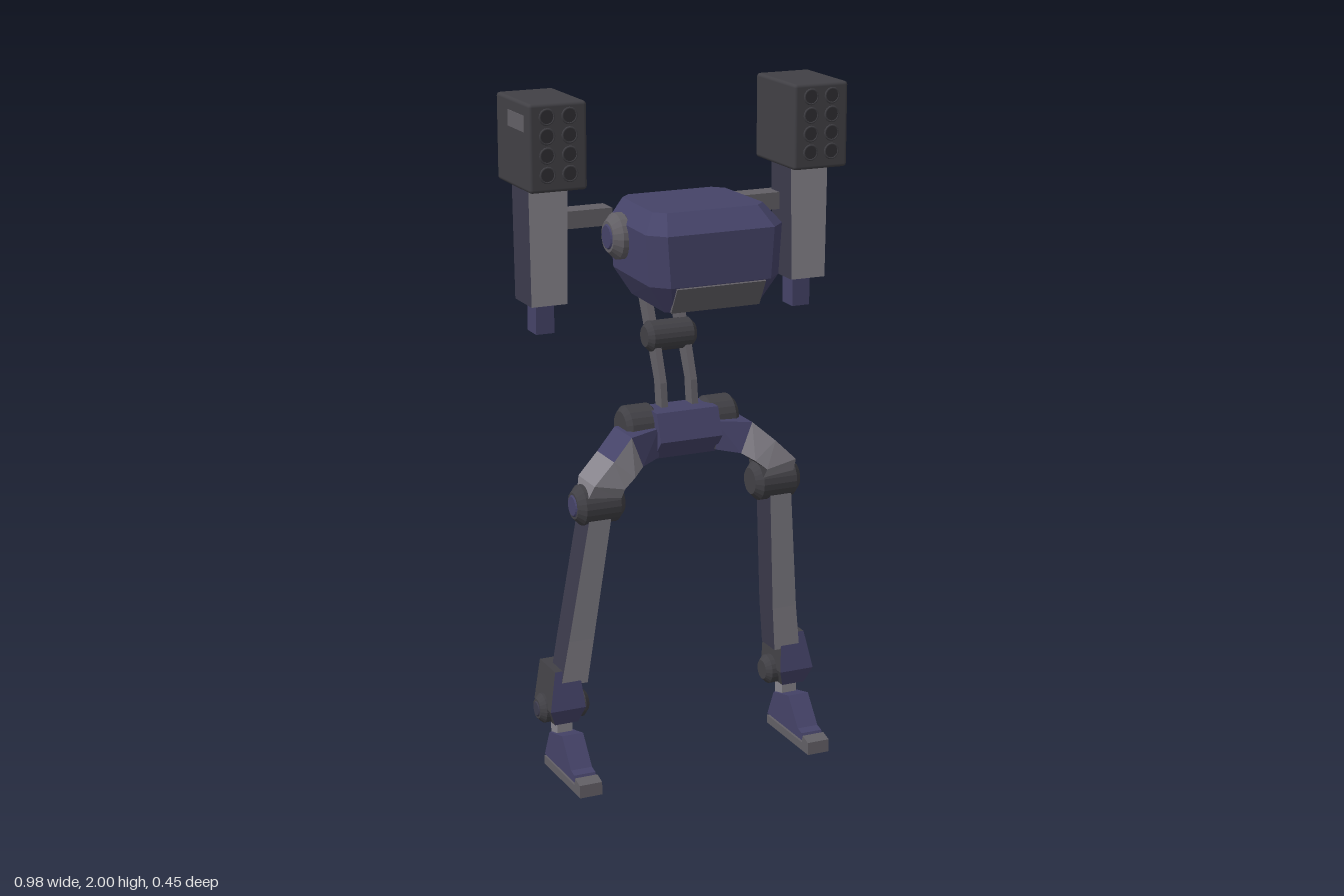
import * as THREE from 'three';
import { RoundedBoxGeometry } from 'three/addons/geometries/RoundedBoxGeometry.js';
import { ConvexGeometry } from 'three/addons/geometries/ConvexGeometry.js';

const paint = (name, color) => Object.assign(new THREE.MeshStandardMaterial({ color }), { name });

export function createModel() {
  const blue = paint('navy armour', 0x454368);
  const dark = paint('dark metal', 0x414045);
  const grey = paint('light grey plate', 0x87848c);
  const steel = paint('steel', 0x625f65);
  const slate = paint('slate', 0x3c3b4c);
  const bore = paint('tube black', 0x2f2e32);

  const model = new THREE.Group();
  model.name = 'walker';

  const add = (parent, name, geo, mat, x = 0, y = 0, z = 0) => {
    const mesh = new THREE.Mesh(geo, mat);
    mesh.name = name;
    mesh.position.set(x, y, z);
    parent.add(mesh);
    return mesh;
  };

  // box given by its limits
  const box = (parent, name, mat, x0, x1, y0, y1, z0, z1, r = 0) => {
    const s = [x1 - x0, y1 - y0, z1 - z0];
    const geo = r ? new RoundedBoxGeometry(...s, 2, r) : new THREE.BoxGeometry(...s);
    return add(parent, name, geo, mat, (x0 + x1) / 2, (y0 + y1) / 2, (z0 + z1) / 2);
  };

  // bevelled drum lying along x
  const drum = (parent, name, mat, x0, x1, y, z, r, bevel = 0.015) => {
    const h = (x1 - x0) / 2;
    const pts = [[0, -h], [r - bevel, -h], [r, bevel - h], [r, h - bevel], [r - bevel, h], [0, h]]
      .map(p => new THREE.Vector2(...p));
    const geo = new THREE.LatheGeometry(pts, 20).rotateZ(-Math.PI / 2).toNonIndexed();
    geo.computeVertexNormals();
    return add(parent, name, geo, mat, (x0 + x1) / 2, y, z);
  };

  // side outline of [z, y] points, extruded along x
  const slab = (parent, name, mat, outline, x0, x1) => {
    const shape = new THREE.Shape(outline.map(([z, y]) => new THREE.Vector2(-z, y)));
    const geo = new THREE.ExtrudeGeometry(shape, { depth: x1 - x0, bevelEnabled: false }).rotateY(Math.PI / 2);
    return add(parent, name, geo, mat, x0);
  };

  // four-sided loft, lower ring first; ring = [inner xy, outer xy, front z, back z];
  // pick(segment, side) gives the material, sides: 0 front, 1 outer, 2 back, 3 inner
  const loft = (parent, name, rings, mats, pick) => {
    const c = rings.map(([a, b, f, k]) => [[...a, f], [...b, f], [...b, k], [...a, k]]);
    const pos = [], geo = new THREE.BufferGeometry();
    const quad = (a, b, d, e, m) => {
      geo.addGroup(pos.length / 3, 6, m);
      pos.push(...a, ...b, ...d, ...a, ...d, ...e);
    };
    for (let i = 0; i < c.length - 1; i++) {
      for (let s = 0; s < 4; s++) {
        const t = (s + 1) % 4;
        quad(c[i][s], c[i][t], c[i + 1][t], c[i + 1][s], pick(i, s));
      }
    }
    const top = c[c.length - 1];
    quad(c[0][3], c[0][2], c[0][1], c[0][0], 0);
    quad(...top, 0);
    geo.setAttribute('position', new THREE.Float32BufferAttribute(pos, 3));
    geo.computeVertexNormals();
    return add(parent, name, geo, mats);
  };

  // bar between two points
  const rod = (parent, name, mat, a, b, r) => {
    const from = new THREE.Vector3(...a), d = new THREE.Vector3(...b).sub(from);
    const mesh = add(parent, name, new THREE.CylinderGeometry(r, r, d.length(), 8), mat);
    mesh.position.copy(from).addScaledVector(d, 0.5);
    mesh.quaternion.setFromUnitVectors(new THREE.Vector3(0, 1, 0), d.normalize());
    return mesh;
  };

  // mirrored copy across x = 0 with the winding turned back
  const mirror = (source, name) => {
    const out = new THREE.Group();
    out.name = name;
    for (const m of source.children) {
      m.updateMatrix();
      let geo = m.geometry.clone();
      if (geo.index) geo = geo.toNonIndexed();
      geo.applyMatrix4(new THREE.Matrix4().makeScale(-1, 1, 1).multiply(m.matrix));
      for (const { array, itemSize: n } of Object.values(geo.attributes)) {
        for (let i = 0; i < array.length; i += 3 * n) {
          for (let k = 0; k < n; k++) {
            [array[i + n + k], array[i + 2 * n + k]] = [array[i + 2 * n + k], array[i + n + k]];
          }
        }
      }
      add(out, m.name, geo, m.material);
    }
    return out;
  };

  // cabin: chamfered hull from eight-cornered levels
  const hull = [];
  for (const [y, hx, zf, zb, c] of [
    [1.42, 0.145, 0.18, -0.10, 0.02], [1.5, 0.197, 0.223, -0.14, 0.045],
    [1.645, 0.207, 0.223, -0.14, 0.045], [1.698, 0.168, 0.165, -0.12, 0.03]]) {
    for (const s of [-1, 1]) {
      for (const [x, z] of [[hx - c, zf], [hx, zf - c], [hx * 0.95, zb + c], [hx * 0.95 - c, zb]]) {
        hull.push(new THREE.Vector3(s * x, y, z));
      }
    }
  }
  add(model, 'cabin', new ConvexGeometry(hull), blue);
  add(model, 'chinPlate', new THREE.BoxGeometry(0.27, 0.086, 0.008), steel, 0, 1.46, 0.2025).rotation.x = 0.5;

  // spine
  box(model, 'backBox', dark, -0.12, 0.12, 1.51, 1.66, -0.215, -0.13, 0.015);
  for (const s of [-1, 1]) {
    const x = s * 0.048;
    slab(model, 'upperStrut', steel, [[-0.17, 1.62], [-0.225, 1.62], [-0.215, 1.38], [-0.155, 1.25],
      [-0.11, 1.26], [-0.165, 1.39]], x - 0.011, x + 0.011);
    slab(model, 'lowerStrut', steel, [[-0.105, 1.27], [-0.155, 1.26], [-0.105, 1.15], [-0.09, 1.03],
      [-0.045, 1.03], [-0.06, 1.15]], x - 0.01, x + 0.01);
  }
  drum(model, 'spineJoint', dark, -0.077, 0.077, 1.275, -0.13, 0.045);

  // pelvis
  slab(model, 'pelvis', blue, [[0, 1.08], [-0.1, 1.08], [-0.145, 1.02], [-0.135, 0.945],
    [-0.02, 0.94], [0.03, 1.0]], -0.097, 0.097);

  // left arm with launcher
  const arm = new THREE.Group();
  arm.name = 'leftArm';
  drum(arm, 'shoulderDisc', steel, 0.17, 0.236, 1.605, -0.02, 0.066, 0.022);
  drum(arm, 'shoulderHub', blue, 0.228, 0.24, 1.605, -0.02, 0.036, 0.004);
  box(arm, 'crossArm', steel, 0.18, 0.36, 1.615, 1.665, -0.183, -0.115);
  loft(arm, 'forearm', [
    [[0.35, 1.42], [0.458, 1.42], -0.04, -0.165],
    [[0.345, 1.76], [0.462, 1.76], -0.04, -0.165]], [slate, grey], (i, s) => (s === 0 ? 1 : 0));
  box(arm, 'barrel', blue, 0.375, 0.43, 1.33, 1.43, -0.145, -0.08);
  box(arm, 'launcher', dark, 0.316, 0.486, 1.755, 2.0, -0.213, 0.035, 0.01);
  for (let i = 0; i < 8; i++) {
    const x = 0.401 + (i % 2 ? 0.033 : -0.033), y = 1.804 + 0.053 * Math.floor(i / 2);
    add(arm, 'launchTube', new THREE.CircleGeometry(0.021, 16), bore, x, y, 0.0365);
    add(arm, 'tubeRim', new THREE.TorusGeometry(0.021, 0.003, 5, 16), dark, x, y, 0.0355);
  }
  box(arm, 'sideWear', steel, 0.485, 0.488, 1.92, 1.965, -0.12, 0.0);
  box(arm, 'backWear', steel, 0.35, 0.44, 1.86, 1.89, -0.215, -0.212);
  model.add(arm, mirror(arm, 'rightArm'));

  // left leg
  const leg = new THREE.Group();
  leg.name = 'leftLeg';
  drum(leg, 'hipJoint', dark, 0.075, 0.178, 1.03, -0.075, 0.062);
  loft(leg, 'thigh', [
    [[0.225, 0.85], [0.325, 0.865], 0.035, -0.05],
    [[0.225, 0.89], [0.318, 0.91], 0.065, -0.055],
    [[0.19, 0.918], [0.255, 0.972], 0.058, -0.065],
    [[0.155, 0.94], [0.19, 1.03], 0.035, -0.09],
    [[0.09, 0.95], [0.09, 1.035], 0.0, -0.1]], [dark, blue, grey],
  (i, s) => (s > 1 ? 0 : i < 2 || (s === 0 && i < 3) ? 2 : 1));
  drum(leg, 'knee', dark, 0.207, 0.353, 0.835, -0.013, 0.059, 0.02);
  drum(leg, 'kneeCap', blue, 0.345, 0.357, 0.835, -0.013, 0.032, 0.004);
  loft(leg, 'shin', [
    [[0.305, 0.28], [0.388, 0.28], -0.035, -0.12],
    [[0.29, 0.42], [0.368, 0.42], -0.02, -0.11],
    [[0.252, 0.81], [0.32, 0.81], 0.032, -0.06]], [slate, grey, dark],
  (i, s) => (s === 0 ? 1 : s === 2 ? 2 : 0));
  rod(leg, 'piston', grey, [0.287, 0.80, -0.083], [0.355, 0.28, -0.15], 0.012);
  loft(leg, 'ankleGuard', [
    [[0.335, 0.16], [0.408, 0.16], -0.04, -0.14],
    [[0.318, 0.21], [0.428, 0.21], -0.02, -0.15],
    [[0.33, 0.325], [0.405, 0.325], -0.04, -0.16]], [dark, blue], (i, s) => (s === 0 ? 1 : 0));
  drum(leg, 'ankle', dark, 0.29, 0.444, 0.2, -0.09, 0.044);
  drum(leg, 'ankleCap', slate, 0.437, 0.447, 0.2, -0.09, 0.024, 0.004);
  box(leg, 'anklePost', grey, 0.345, 0.393, 0.1, 0.18, -0.108, -0.06);
  slab(leg, 'foot', blue, [[0.1, 0.03], [0.09, 0.052], [0.065, 0.058], [0, 0.14],
    [-0.1, 0.115], [-0.14, 0.03]], 0.336, 0.402);
  slab(leg, 'sole', steel, [[0.137, 0], [0.135, 0.038], [0.1, 0.048], [0.095, 0.025],
    [-0.14, 0.025], [-0.14, 0]], 0.334, 0.404);
  model.add(leg, mirror(leg, 'rightLeg'));

  return model;
}
